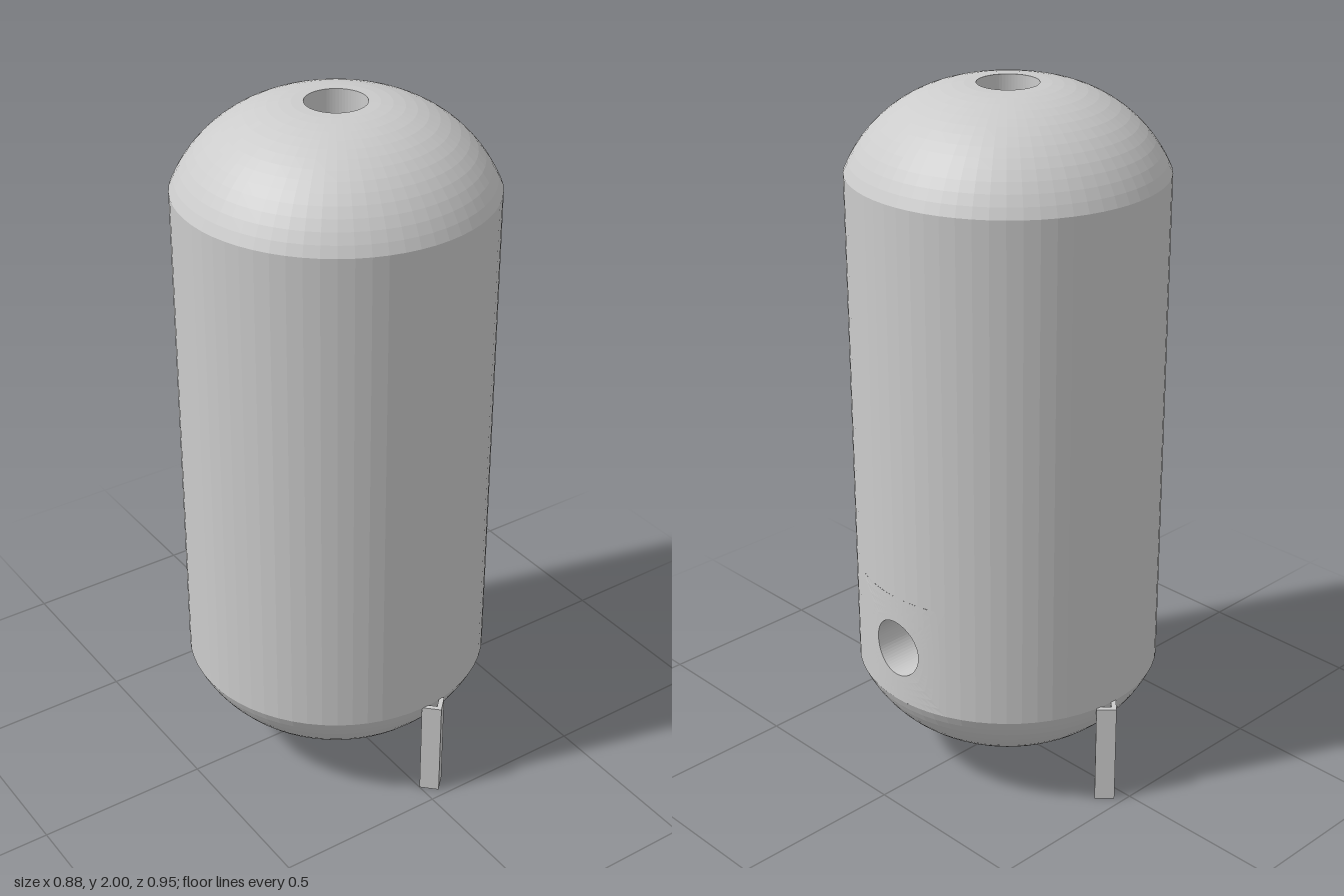
import * as THREE from 'three';

const R = 0.44, LOW = 0.3, HIGH = 1.765, SEG = 64;
const HOLE = 0.084, PORT_Y = 0.465, PATCH = 0.165;
const PATCH_ANGLE = 4 * (2 * Math.PI / SEG);

// Quarter of the dome profile: flat crown of hole radius blending into an arc down to the wall
function domeProfile(edgeY, dir) {
  const height = 0.235, run = R - HOLE;
  const rad = (run * run + height * height) / (2 * height);
  const end = Math.asin(run / rad), pts = [];
  for (let i = 0; i <= 14; i++) {
    const a = end * (1 - i / 14);
    pts.push(new THREE.Vector2(HOLE + rad * Math.sin(a), edgeY + dir * (height - rad + rad * Math.cos(a))));
  }
  return pts; // from wall to crown
}

// Wall panel around the side port, with its bore, as rings from the bore floor outward
function portPanel() {
  const rings = 8, pos = [], index = [];
  for (let i = 0; i < rings; i++) {
    for (let j = 0; j <= SEG; j++) {
      const t = (j / SEG) * Math.PI * 2, c = Math.cos(t), s = Math.sin(t);
      if (i < 2) {
        const r = i === 0 ? 0 : HOLE;
        pos.push(0.05, PORT_Y + r * s, -r * c);
        continue;
      }
      const k = (i - 2) / (rings - 3), m = Math.max(Math.abs(c), Math.abs(s));
      const angle = THREE.MathUtils.lerp(Math.asin(HOLE * c / R), PATCH_ANGLE * c / m, k);
      const y = PORT_Y + THREE.MathUtils.lerp(HOLE * s, PATCH * s / m, k);
      pos.push(R * Math.cos(angle), y, -R * Math.sin(angle));
    }
  }
  const w = SEG + 1;
  for (let i = 0; i < rings - 1; i++) {
    for (let j = 0; j < SEG; j++) {
      const a = i * w + j, b = a + w;
      index.push(a, b, b + 1);
      if (i > 0) index.push(a, b + 1, a + 1);
    }
  }
  const g = new THREE.BufferGeometry();
  g.setAttribute('position', new THREE.Float32BufferAttribute(pos, 3));
  g.setIndex(index);
  g.computeVertexNormals();
  return g;
}

// Angle-iron leg: a V section pointing outward, side = 1 for front, -1 for back
function legGeometry(side) {
  const outline = [[0, 0.437], [0.04, 0.477], [0.08, 0.437], [0.07, 0.427], [0.04, 0.457], [0.01, 0.427]];
  const shape = new THREE.Shape(outline.map(([x, z]) => new THREE.Vector2(x, -side * z)));
  const g = new THREE.ExtrudeGeometry(shape, { depth: LOW, bevelEnabled: false });
  return g.rotateX(-Math.PI / 2);
}

export function createModel() {
  const group = new THREE.Group();
  const material = new THREE.MeshStandardMaterial({ color: 0xcccccc, flatShading: true });
  const add = (name, geometry) => {
    const mesh = new THREE.Mesh(geometry, material);
    mesh.name = name;
    group.add(mesh);
    return mesh;
  };

  // Domed ends, the upper one with a bore down its centre
  const bottom = [new THREE.Vector2(0, LOW - 0.235), ...domeProfile(LOW, -1).reverse()];
  const top = [...domeProfile(HIGH, 1), new THREE.Vector2(HOLE, 1.6), new THREE.Vector2(0, 1.6)];
  add('bottomDome', new THREE.LatheGeometry(bottom, SEG));
  add('topDome', new THREE.LatheGeometry(top, SEG));

  // Cylindrical wall: full above the port, open beside it where the panel fits
  const split = PORT_Y + PATCH;
  add('upperWall', new THREE.CylinderGeometry(R, R, HIGH - split, SEG, 1, true)).position.y = (HIGH + split) / 2;
  add('lowerWall', new THREE.CylinderGeometry(R, R, split - LOW, SEG - 8, 1, true,
    Math.PI / 2 + PATCH_ANGLE, Math.PI * 2 - 2 * PATCH_ANGLE)).position.y = (split + LOW) / 2;
  add('sidePort', portPanel());

  // Legs
  add('frontLeg', legGeometry(1));
  add('backLeg', legGeometry(-1));
  return group;
}
